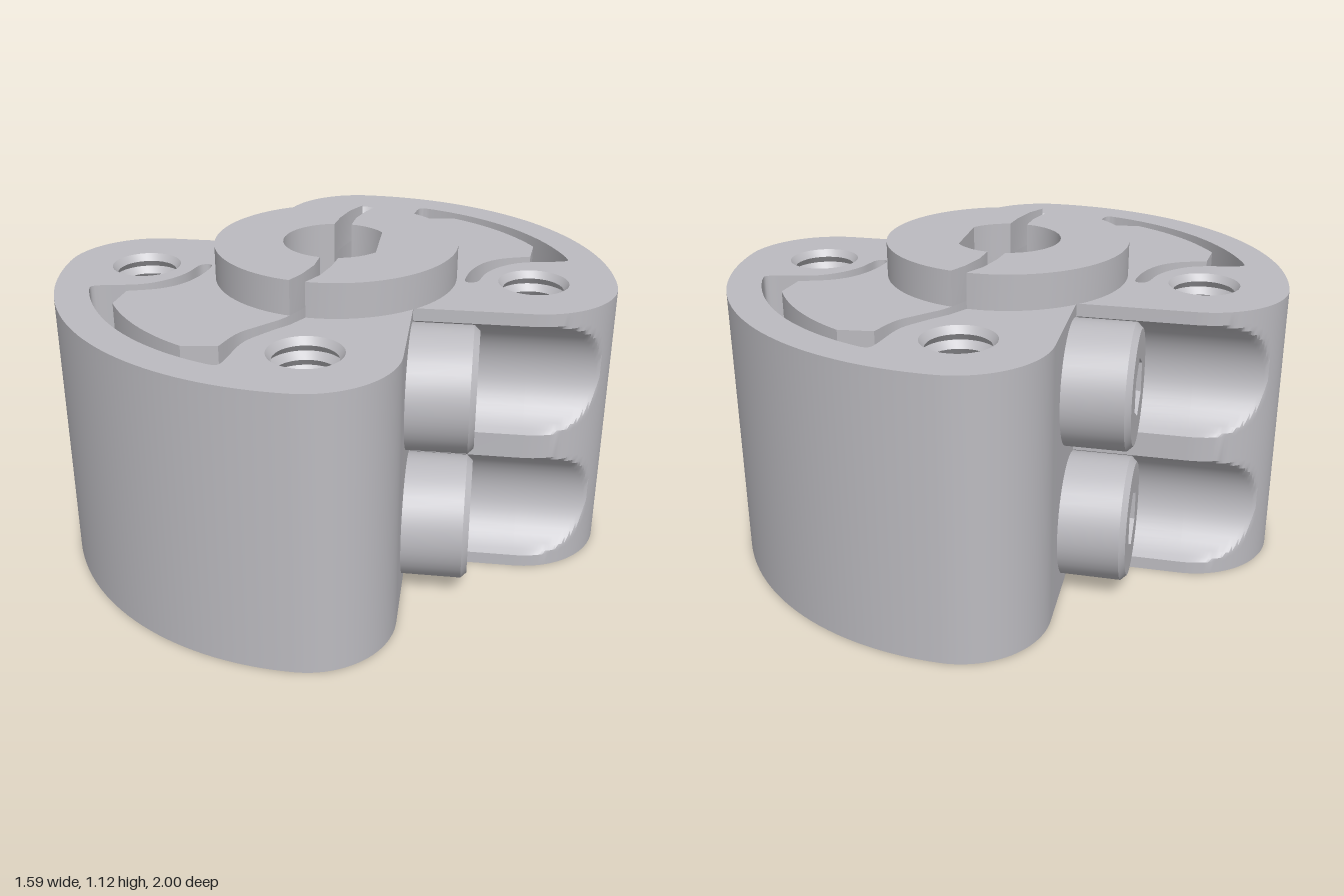
import * as THREE from 'three';
import { toCreasedNormals } from 'three/addons/utils/BufferGeometryUtils.js';

const SEAT = 0.302;      // lobe radius, also the distance of the screw seat along the screw axis
const AXIS = 0.383;      // sideways offset of the screw axis
const POCKET = 0.22;     // radius of the screw pocket
const SCREW_Y = [0.25, 0.75];
const FLANGE_R = 0.435, BORE_R = 0.19, HOLE_R = 0.125, HOLE_C = 0.5;

// Plans are drawn in (x, s) with s = -z.
const V = (x, s) => new THREE.Vector2(x, s);
const vecs = (list) => list.map(([x, s]) => V(x, s));
const spin = (pts) => pts.map((p) => V(-p.x, -p.y));
const rad = THREE.MathUtils.degToRad;

function arc(cx, cs, r, fromDeg, toDeg, n) {
  const pts = [];
  for (let i = 0; i <= n; i++) {
    const a = rad(fromDeg + ((toDeg - fromDeg) * i) / n);
    pts.push(V(cx + r * Math.cos(a), cs + r * Math.sin(a)));
  }
  return pts;
}
const spline = (list, n = 24) => new THREE.SplineCurve(vecs(list)).getPoints(n);

// Vertical wall through a plan loop that may change with height
function wall(loopAt, ys) {
  const pos = [], index = [];
  let n = 0;
  for (const y of ys) {
    const loop = loopAt(y);
    n = loop.length;
    loop.forEach((p) => pos.push(p.x, y, -p.y));
  }
  for (let j = 0; j < ys.length - 1; j++) {
    for (let i = 0; i < n; i++) {
      const k = (i + 1) % n, a = j * n + i, b = j * n + k;
      index.push(a, b, b + n, a, b + n, a + n);
    }
  }
  const g = new THREE.BufferGeometry();
  g.setAttribute('position', new THREE.Float32BufferAttribute(pos, 3));
  g.setIndex(index);
  return toCreasedNormals(g, 0.5);
}

// Flat face with holes, facing up or down
function cap(loop, holes, y, down = false) {
  const shape = new THREE.Shape(loop);
  holes.forEach((h) => shape.holes.push(new THREE.Path(h)));
  const g = new THREE.ShapeGeometry(shape);
  g.rotateX(-Math.PI / 2).translate(0, y, 0);
  if (down) g.index.array.reverse();
  g.computeVertexNormals();
  return g;
}

// Two-lobed outline; pockets trim each clamping side at the given height
function outline(y) {
  let limit = 1;
  for (const c of SCREW_Y) {
    const d = Math.abs(y - c);
    if (d < POCKET) limit = AXIS - Math.sqrt(POCKET * POCKET - d * d);
  }
  const c = (1 - SEAT) / Math.SQRT2, waist = SEAT * Math.SQRT2;
  const half = [
    V(waist, 0),
    ...arc(c, c, SEAT, -45, 45, 36),
    ...arc(0, 0, 1, 45, 135, 40).slice(1, -1),
    ...arc(-c, c, SEAT, 135, 225, 24),
    V(-waist, 0),
  ].map((p) => {
    const u = Math.min((p.x - p.y) / Math.SQRT2, limit), v = (p.x + p.y) / Math.SQRT2;
    return V((u + v) / Math.SQRT2, (v - u) / Math.SQRT2);
  });
  return [...half, ...spin(half)];
}

// Slit edges from the bore out to the flange rim
const slitOuter = vecs([[-0.155, 0.11], [-0.205, 0.175], [-0.253, 0.26], [-0.275, 0.337]]);
const slitInner = vecs([[-0.11, 0.155], [-0.165, 0.22], [-0.207, 0.3], [-0.23, 0.369]]);

// Bore with a flat on one side, split at the slits
const boreFlat = [...arc(0, 0, BORE_R, 125, 81, 8).slice(1), ...arc(0, 0, BORE_R, 9, -35, 8).slice(0, -1)];
const boreRound = arc(0, 0, BORE_R, -55, -215, 28).slice(1, -1);

// One flexure slot: out along the slit, round the crescent, to the blind end and back
function slot() {
  return [
    ...slitOuter,
    ...spline([[-0.293, 0.41], [-0.302, 0.52], [-0.325, 0.62], [-0.412, 0.75], [-0.4, 0.784]]),
    ...arc(0, 0, 0.88, 116, 64, 28),
    ...spline([[0.4, 0.784], [0.412, 0.75], [0.33, 0.62], [0.312, 0.52], [0.33, 0.43],
      [0.372, 0.35], [0.357, 0.315], [0.328, 0.33], [0.275, 0.41], [0.245, 0.5], [0.252, 0.59], [0.3, 0.69]], 60).slice(1),
    ...arc(0, 0, 0.815, 74, 106, 16),
    ...spline([[-0.3, 0.69], [-0.252, 0.59], [-0.243, 0.5], [-0.24, 0.42]], 16),
    ...[...slitInner].reverse(),
  ];
}

// Saw-toothed profile for a thread
function threadProfile(rOut, rIn, y0, y1, teeth) {
  const pts = [], step = (y1 - y0) / teeth;
  for (let i = 0; i < teeth; i++) {
    pts.push(V(rOut, y0 + i * step), V(rIn, y0 + (i + 0.5) * step));
  }
  pts.push(V(rOut, y1));
  return pts;
}
const lathe = (pts, n = 40) => toCreasedNormals(new THREE.LatheGeometry(pts, n), 0.5);

export function createModel() {
  const model = new THREE.Group();
  model.name = 'clampingHub';
  const metal = new THREE.MeshStandardMaterial({ color: 0xbcbbc0 });
  metal.name = 'grey metal';
  const add = (parent, name, geometry) => {
    const m = new THREE.Mesh(geometry, metal);
    m.name = name;
    parent.add(m);
    return m;
  };

  // Main body
  const body = new THREE.Group();
  body.name = 'body';
  model.add(body);
  const upper = slot();
  const opening = [...upper, ...boreFlat, ...spin(upper), ...boreRound];
  const corners = [[1, 1], [-1, 1], [-1, -1], [1, -1]];
  const rounds = corners.map(([a, b]) => arc(a * HOLE_C, b * HOLE_C, HOLE_R, 360, 0, 40).slice(0, -1));
  const levels = [0];
  const edge = Math.acos(Math.sqrt(POCKET ** 2 - (AXIS - SEAT) ** 2) / POCKET);
  for (const c of SCREW_Y) {
    for (let i = 0; i <= 18; i++) {
      levels.push(c - POCKET * Math.cos(edge + ((Math.PI - 2 * edge) * i) / 18));
    }
  }
  levels.push(1);
  add(body, 'outerWall', wall(outline, levels));
  add(body, 'slotWall', wall(() => opening, [0, 1]));
  const plan = outline(0).filter((p, i, all) => p.distanceTo(all[(i + 1) % all.length]) > 1e-5);
  add(body, 'topFace', cap(plan, [opening, ...rounds], 1));
  add(body, 'bottomFace', cap(plan, [opening, ...rounds], 0, true));

  // Threaded mounting holes
  for (const [a, b] of corners) {
    const hole = add(body, 'threadedHole', lathe(threadProfile(HOLE_R, 0.107, 1, 0, 20)));
    hole.position.set(a * HOLE_C, 0, -b * HOLE_C);
  }

  // Raised collar in two halves
  const deg = (p) => THREE.MathUtils.radToDeg(Math.atan2(p.y, p.x));
  const farOuter = spin(slitOuter);
  const rim = arc(0, 0, FLANGE_R, deg(farOuter[3]), deg(slitInner[3]), 48).slice(1, -1);
  const flatHalf = [...[...slitInner].reverse(), ...boreFlat, ...farOuter, ...rim];
  const roundHalf = [...spin([...slitInner].reverse()), ...boreRound, ...slitOuter, ...spin(rim)];
  for (const half of [flatHalf, roundHalf]) {
    const collar = new THREE.Group();
    collar.name = 'collarHalf';
    model.add(collar);
    add(collar, 'collarWall', wall(() => half, [1, 1.125]));
    add(collar, 'collarTop', cap(half, [], 1.125));
  }

  // Clamping screws, two on each side
  const hex = arc(0, 0, 0.105, 360, 0, 6).slice(0, -1);
  const faceRim = arc(0, 0, 0.198, 0, 360, 40).slice(0, -1);
  const headProfile = vecs([[0, 0], [0.2175, 0], [0.2175, 0.208], [0.198, 0.228]]);
  for (const side of [0, Math.PI]) {
    const pair = new THREE.Group();
    pair.name = side ? 'rightScrews' : 'leftScrews';
    pair.rotation.y = side;
    model.add(pair);
    for (const y of SCREW_Y) {
      const screw = new THREE.Group();
      screw.name = 'screw';
      screw.position.set((AXIS + SEAT) / Math.SQRT2, y, (AXIS - SEAT) / Math.SQRT2);
      screw.rotation.set(0, Math.PI / 4, -Math.PI / 2);
      pair.add(screw);
      add(screw, 'screwHead', lathe(headProfile));
      add(screw, 'screwFace', cap(faceRim, [hex], 0.228));
      add(screw, 'socketWall', wall(() => hex, [0.1, 0.228]));
      add(screw, 'socketFloor', cap([...hex].reverse(), [], 0.1));
      add(screw, 'screwThread', lathe(threadProfile(0.14, 0.112, -0.46, 0, 14), 28));
    }
  }
  return model;
}
